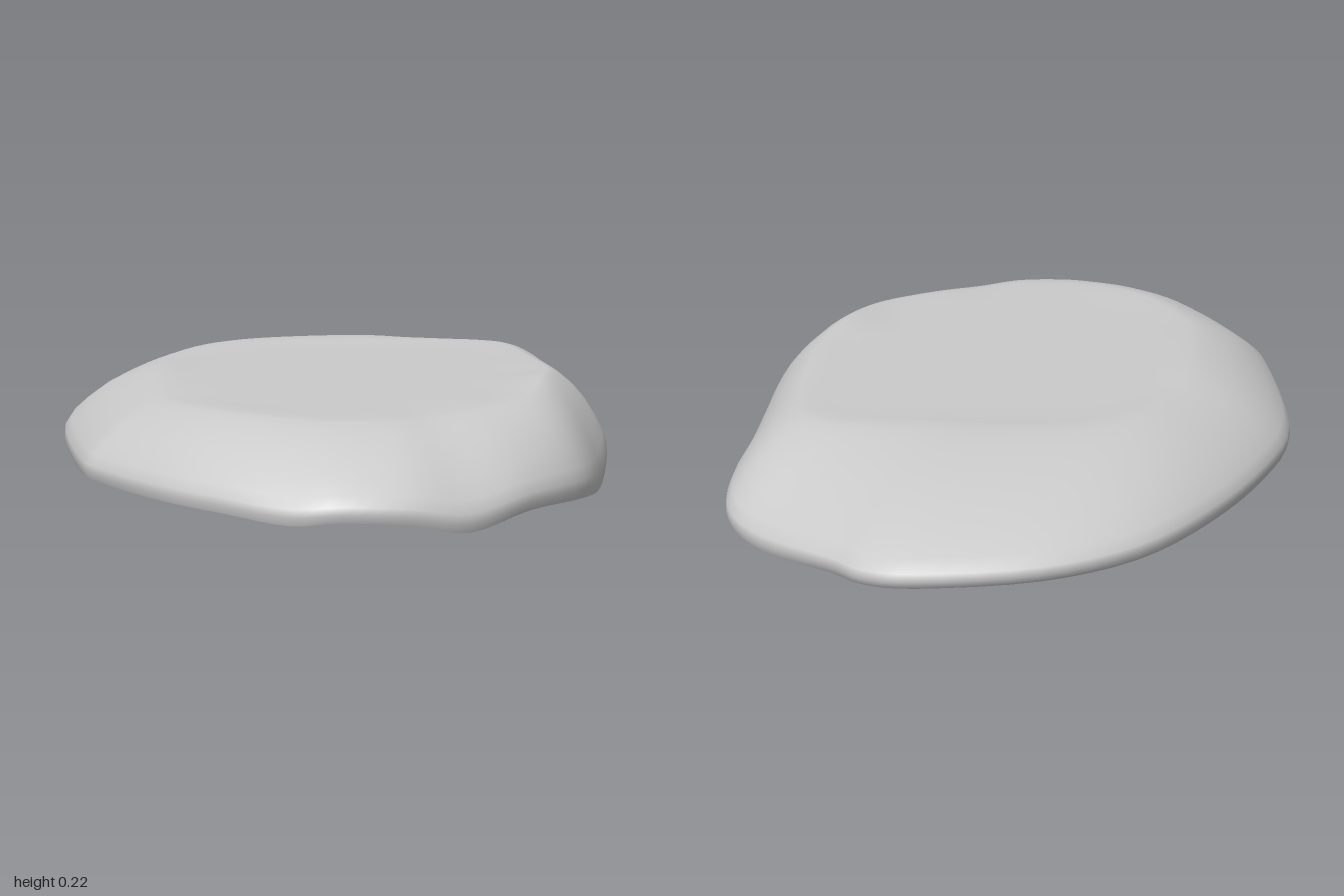
import * as THREE from 'three';

// Outline of the slab, clockwise from the back:
// x, z, height of lower rim, height of shoulder, shoulder distance (fraction of radius)
const OUTLINE = [
  [0.05, -1.0, 0.06, 0.21, 0.46],
  [0.16, -0.98, 0.055, 0.21, 0.47],
  [0.24, -0.91, 0.05, 0.21, 0.5],
  [0.4, -0.78, 0.035, 0.208, 0.58],
  [0.49, -0.67, 0.045, 0.207, 0.66],
  [0.525, -0.52, 0.058, 0.207, 0.74],
  [0.55, -0.25, 0.032, 0.207, 0.78],
  [0.57, -0.03, 0.028, 0.212, 0.79],
  [0.582, 0.15, 0.03, 0.217, 0.78],
  [0.555, 0.34, 0.003, 0.225, 0.78],
  [0.5, 0.58, 0.025, 0.212, 0.77],
  [0.38, 0.78, 0.038, 0.205, 0.73],
  [0.26, 0.91, 0.02, 0.2, 0.71],
  [0.15, 0.975, 0.045, 0.203, 0.71],
  [0.02, 1.0, 0.055, 0.203, 0.71],
  [-0.08, 0.98, 0.046, 0.205, 0.71],
  [-0.2, 0.91, 0.055, 0.207, 0.72],
  [-0.33, 0.79, 0.058, 0.206, 0.72],
  [-0.46, 0.6, 0.058, 0.2, 0.7],
  [-0.515, 0.46, 0.057, 0.203, 0.66],
  [-0.585, 0.03, 0.055, 0.21, 0.62],
  [-0.55, -0.26, 0.057, 0.207, 0.62],
  [-0.46, -0.55, 0.058, 0.21, 0.6],
  [-0.34, -0.78, 0.058, 0.21, 0.54],
  [-0.17, -0.93, 0.06, 0.21, 0.48],
];

// Side wall, from the rim to the shoulder: [way inwards, way upwards]
const WALL = [[0.02, 0], [0, 0.1], [0.01, 0.2], [0.07, 0.33], [0.2, 0.5], [0.36, 0.67], [0.55, 0.82], [0.75, 0.93], [0.9, 0.985], [1, 1]];
// Top face, from the shoulder to the middle: [scale, way down to the flat height]
const TOP = [[0.92, 0.35], [0.82, 0.85], [0.65, 1], [0.4, 1], [0.15, 1], [0, 1]];
const FLAT_Y = 0.204;
const SEGMENTS = 100;

// Catmull-Rom sample of one outline column, closed
function sample(column, t) {
  const n = OUTLINE.length, i = Math.floor(t), f = t - i;
  const [a, b, c, d] = [-1, 0, 1, 2].map((k) => OUTLINE[(i + k + n) % n][column]);
  return b + 0.5 * f * (c - a + f * (2 * a - 5 * b + 4 * c - d + f * (3 * (b - c) + d - a)));
}

function slabGeometry() {
  const positions = [], indices = [];
  const rings = WALL.length + TOP.length;
  for (let i = 0; i < SEGMENTS; i++) {
    const t = (i / SEGMENTS) * OUTLINE.length;
    const [x, z, rimY, topY, inset] = [0, 1, 2, 3, 4].map((c) => sample(c, t));
    for (const [inward, up] of WALL) {
      const s = 1 - inward * (1 - inset);
      positions.push(x * s, rimY + (topY - rimY) * up, z * s);
    }
    for (const [scale, down] of TOP) {
      positions.push(x * inset * scale, topY + (FLAT_Y - topY) * down, z * inset * scale);
    }
    const next = ((i + 1) % SEGMENTS) * rings;
    for (let j = 0; j < rings - 1; j++) {
      const a = i * rings + j, b = next + j;
      indices.push(a, a + 1, b);
      if (j < rings - 2) indices.push(b, a + 1, b + 1);
    }
  }
  const geometry = new THREE.BufferGeometry();
  geometry.setAttribute('position', new THREE.Float32BufferAttribute(positions, 3));
  geometry.setIndex(indices);
  geometry.computeVertexNormals();
  // The middle points coincide, so give them all the same upward normal
  const normals = geometry.attributes.normal;
  for (let i = 0; i < SEGMENTS; i++) normals.setXYZ(i * rings + rings - 1, 0, 1, 0);
  return geometry;
}

export function createModel() {
  const group = new THREE.Group();
  group.name = 'flatStone';
  // Open shell: hollow underneath, with a rim that hangs down
  const slab = new THREE.Mesh(
    slabGeometry(),
    new THREE.MeshStandardMaterial({ color: 0xcccccc, side: THREE.DoubleSide })
  );
  slab.name = 'stoneSlab';
  group.add(slab);
  return group;
}
